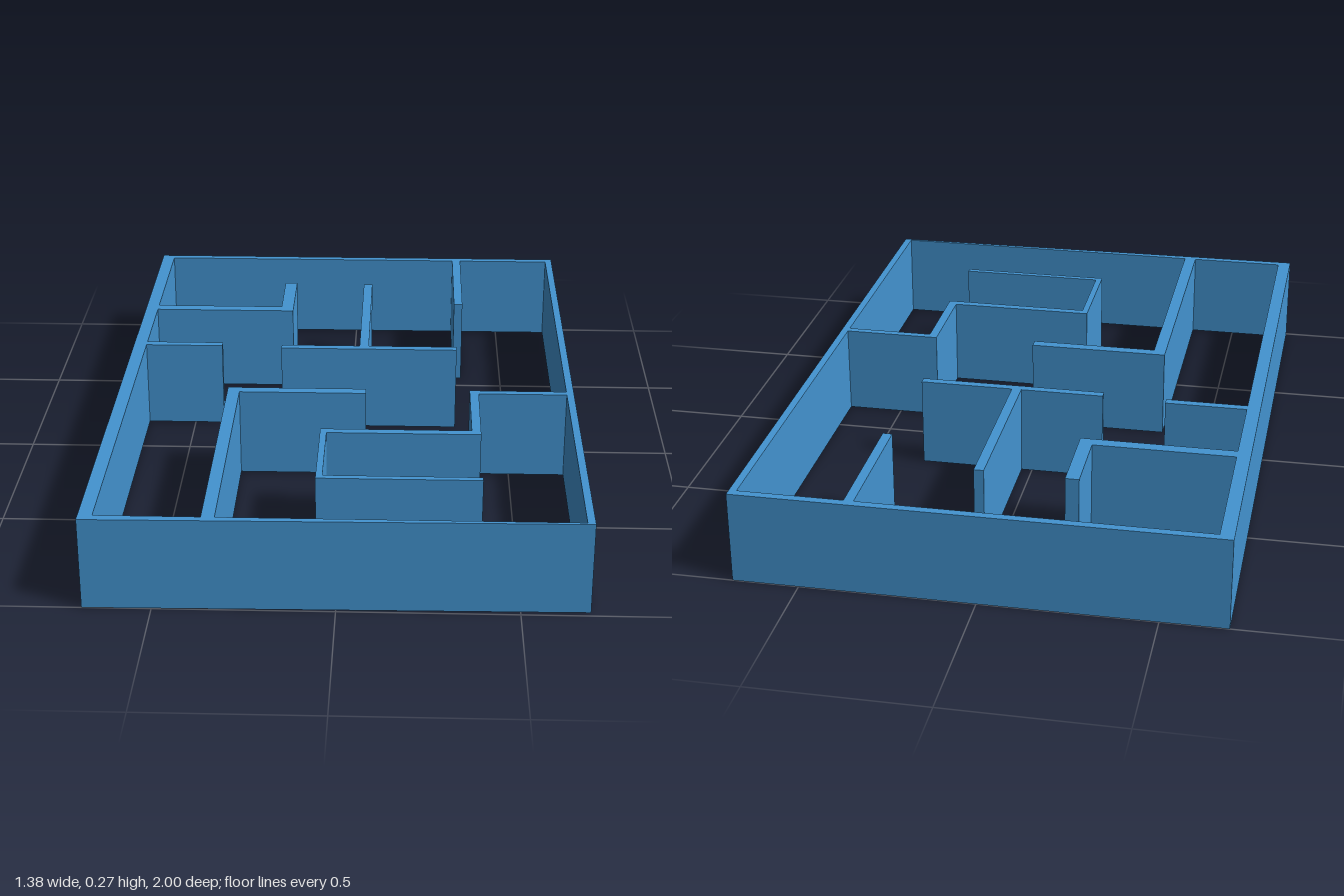
import * as THREE from 'three';

const HEIGHT = 0.27;
const material = new THREE.MeshStandardMaterial({ color: 0x4394d1 });

// Raises a floor-plan outline of [x, z] points into a wall standing on y = 0.
function wall(name, outline, opening) {
  const toPoints = (list) => list.map(([x, z]) => new THREE.Vector2(x, -z));
  const shape = new THREE.Shape(toPoints(outline));
  if (opening) shape.holes.push(new THREE.Path(toPoints(opening)));
  const geometry = new THREE.ExtrudeGeometry(shape, { depth: HEIGHT, bevelEnabled: false });
  geometry.rotateX(-Math.PI / 2);
  const mesh = new THREE.Mesh(geometry, material);
  mesh.name = name;
  return mesh;
}

// Outline of a straight wall.
const bar = (x0, x1, z0, z1) => [[x0, z0], [x0, z1], [x1, z1], [x1, z0]];

export function createModel() {
  const group = new THREE.Group();
  group.name = 'floorPlanWalls';
  group.add(
    // Outer walls; the front one thins slightly towards the model's left
    wall('outerWalls',
      [[-0.69, -1], [-0.69, 1], [0.69, 0.983], [0.69, -1]],
      bar(-0.65, 0.668, -0.975, 0.974)),

    // Back rooms
    wall('backCornerWall', [
      [-0.65, -0.524], [-0.65, -0.487], [-0.198, -0.487],
      [-0.198, -0.741], [-0.238, -0.741], [-0.238, -0.524],
    ]),
    wall('backDivider', bar(0.339, 0.367, -0.975, -0.561)),
    wall('sideStubWall', bar(-0.65, -0.407, -0.211, -0.185)),

    // T-shaped wall in the middle
    wall('middleTWall', [
      [-0.217, -0.198], [-0.217, -0.172], [0.341, -0.172], [0.341, -0.198],
      [0.061, -0.198], [0.061, -0.736], [0.032, -0.736], [0.032, -0.198],
    ]),

    // Long L-shaped corridor wall at the front
    wall('corridorWall', [
      [-0.36, 0.135], [-0.36, 0.974], [-0.323, 0.974],
      [-0.323, 0.168], [0.061, 0.168], [0.061, 0.135],
    ]),

    // Winding wall of the front room
    wall('frontRoomWall', [
      [0.668, 0.137], [0.375, 0.137], [0.375, 0.419], [-0.066, 0.419],
      [-0.066, 0.737], [0.4, 0.737], [0.4, 0.718], [-0.047, 0.718],
      [-0.047, 0.445], [0.402, 0.445], [0.402, 0.16], [0.668, 0.16],
    ]),
  );
  return group;
}
